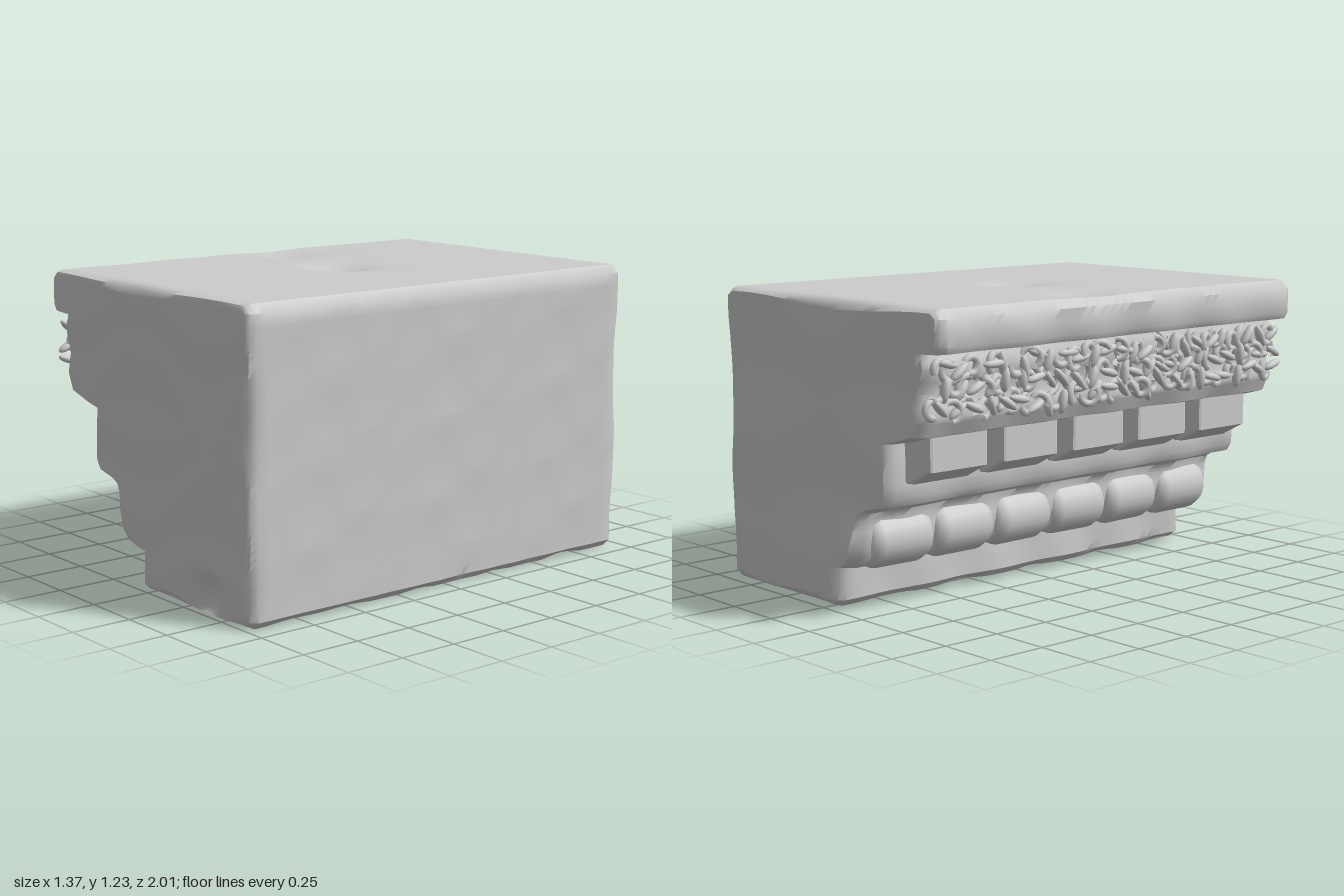
import * as THREE from 'three';
import { mergeVertices, mergeGeometries, toCreasedNormals } from 'three/addons/utils/BufferGeometryUtils.js';

const stone = new THREE.MeshStandardMaterial({ color: 0xcccccc });

let seed = 7;
const rand = () => {
  seed = (seed * 16807) % 2147483647;
  return seed / 2147483647;
};
const spread = (a) => (rand() * 2 - 1) * a;
const bump = (a, b, r) => Math.exp(-(a * a + b * b) / (r * r));

// Moulded edge from the foot up: [y, left x]
const profile = [
  [0, -0.03], [0.03, -0.06], [0.165, -0.06], [0.172, -0.12], [0.19, -0.18],
  [0.23, -0.215], [0.3, -0.23], [0.37, -0.225], [0.405, -0.235], [0.425, -0.27],
  [0.445, -0.355], [0.48, -0.375], [0.695, -0.375], [0.71, -0.45], [0.74, -0.56],
  [0.79, -0.585], [0.81, -0.595], [0.85, -0.585], [0.9, -0.57], [0.95, -0.59], [1.0, -0.6],
  [1.035, -0.585], [1.055, -0.58], [1.06, -0.67], [1.085, -0.685], [1.19, -0.685], [1.225, -0.655],
];

// Fill wide gaps so that the surface can weather evenly
function refine(points, step) {
  const out = [points[0]];
  for (let i = 1; i < points.length; i++) {
    const [y0, x0] = points[i - 1], [y1, x1] = points[i];
    const n = Math.ceil((y1 - y0) / step);
    for (let k = 1; k <= n; k++) {
      out.push([y0 + (y1 - y0) * k / n, x0 + (x1 - x0) * k / n]);
    }
  }
  return out;
}

// A gridded box whose rows follow the profile, with rounded and worn edges
function blockGeometry() {
  const rows = refine(profile, 0.06);
  const ends = [[0, 0.04], [0.012, 0.015], [0.04, 0]];
  const nx = 28, nz = 44, ny = rows.length - 1, H = 1.225, back = -0.972, front = 0.997;
  const station = (k) => {
    const j = Math.min(k, nz - k);
    if (j < 3) {
      const [d, inset] = ends[j];
      return [k < nz / 2 ? back + d : front - d, inset];
    }
    return [back + 0.04 + (front - back - 0.08) * (k - 2) / (nz - 4), 0];
  };
  const geo = new THREE.BoxGeometry(1, 1, 1, nx, ny, nz);
  const p = geo.attributes.position;
  for (let i = 0; i < p.count; i++) {
    const u = p.getX(i) + 0.5;
    const r = Math.round((p.getY(i) + 0.5) * ny);
    const k = Math.round((p.getZ(i) + 0.5) * nz);
    let [z, inset] = station(k);
    let [y, left] = rows[r];
    const right = 0.68 - 0.03 * Math.max(0, 1 - y / 0.03, 1 - (H - y) / 0.035);
    inset *= 1 + 0.5 * Math.sin(y * 9 + u * 7);
    let x = THREE.MathUtils.lerp(left + inset, right - inset, u);
    y = THREE.MathUtils.clamp(y, inset * 0.7, H - inset * 0.7);
    // gentle weathering, strongest on the lower edge and the moulding
    const wear = Math.sin(x * 7 + z * 5) * Math.sin(y * 8 - z * 9 + 1) + 0.6 * Math.sin(z * 17 + y * 13);
    if (u < 0.01) x += 0.007 * wear;
    if (u > 0.99) x -= 0.004 * Math.abs(wear);
    if (r === ny) {
      y -= 0.045 * bump(x + 0.02, z, 0.1) + 0.02 * bump(x + 0.52, z + 0.1, 0.12);
    }
    if (r === 0) y += 0.01 * Math.max(0, wear);
    if (k === 0) z -= 0.03 * bump(x + 0.17, y - 0.27, 0.09) - 0.004 * wear;
    if (k === nz) z -= 0.006 * Math.abs(wear) + 0.03 * bump(x - 0.4, y - 0.08, 0.07);
    p.setXYZ(i, x, y, z);
  }
  geo.deleteAttribute('uv');
  geo.deleteAttribute('normal');
  return toCreasedNormals(mergeVertices(geo), 0.75);
}

// One dentil: a slant-bottomed tooth, extruded along z
function dentilGeometry(length) {
  const b = 0.014;
  const s = new THREE.Shape();
  [[-0.33, 0.545], [-0.415, 0.552], [-0.515, 0.605], [-0.515, 0.722], [-0.33, 0.722]]
    .forEach(([x, y], i) => (i ? s.lineTo(x, y) : s.moveTo(x, y)));
  const g = new THREE.ExtrudeGeometry(s, {
    depth: length - 2 * b, bevelSize: b, bevelThickness: b, bevelSegments: 2,
  });
  return g.translate(0, 0, -length / 2 + b);
}

// One long bead of the lower moulding
function beadGeometry(length) {
  const h = length / 2, r = 0.115;
  const pts = [[0, -h], [0.65, -h], [0.88, -h + 0.015], [1, -h + 0.05], [1, h - 0.05], [0.88, h - 0.015], [0.65, h], [0, h]]
    .map(([a, y]) => new THREE.Vector2(a * r, y));
  return new THREE.LatheGeometry(pts, 24).rotateX(Math.PI / 2);
}

// Tangled leaves and curls of the frieze
function foliageGeometry() {
  const parts = [];
  const columns = 25;
  for (let c = 0; c < columns; c++) {
    for (let row = 0; row < 3; row++) {
      const z = -0.92 + 1.84 * c / (columns - 1) + spread(0.02);
      const y = 0.84 + row * 0.075 + spread(0.015);
      const curl = new THREE.TorusGeometry(0.03 + rand() * 0.012, 0.015, 6, 12, 3 + rand() * 2);
      curl.rotateZ(rand() * 6.28).rotateY(Math.PI / 2 + spread(0.5));
      parts.push(curl.translate(-0.608 + spread(0.006), y, z));
      const leaf = new THREE.SphereGeometry(1, 10, 7).scale(0.022, 0.05, 0.017);
      leaf.rotateX(rand() * 3.14);
      parts.push(leaf.translate(-0.613 + spread(0.008), y + spread(0.02), z + 0.035));
    }
  }
  return mergeGeometries(parts);
}

export function createModel() {
  const model = new THREE.Group();
  model.name = 'corniceBlock';
  const add = (name, geo, x = 0, y = 0, z = 0) => {
    const mesh = new THREE.Mesh(geo, stone);
    mesh.name = name;
    mesh.position.set(x, y, z);
    model.add(mesh);
    return mesh;
  };

  add('block', blockGeometry());
  add('leafFrieze', foliageGeometry());

  // Row of dentils below the frieze
  const dentil = dentilGeometry(0.29);
  for (let i = 0; i < 5; i++) add('dentil', dentil, 0, 0, -0.74 + i * 0.37);

  // Row of beads along the lower moulding
  const bead = beadGeometry(0.3);
  for (let i = 0; i < 6; i++) {
    add('bead', bead, -0.153, 0.283, -0.78 + i * 0.316).rotation.y = spread(0.03);
  }
  return model;
}
